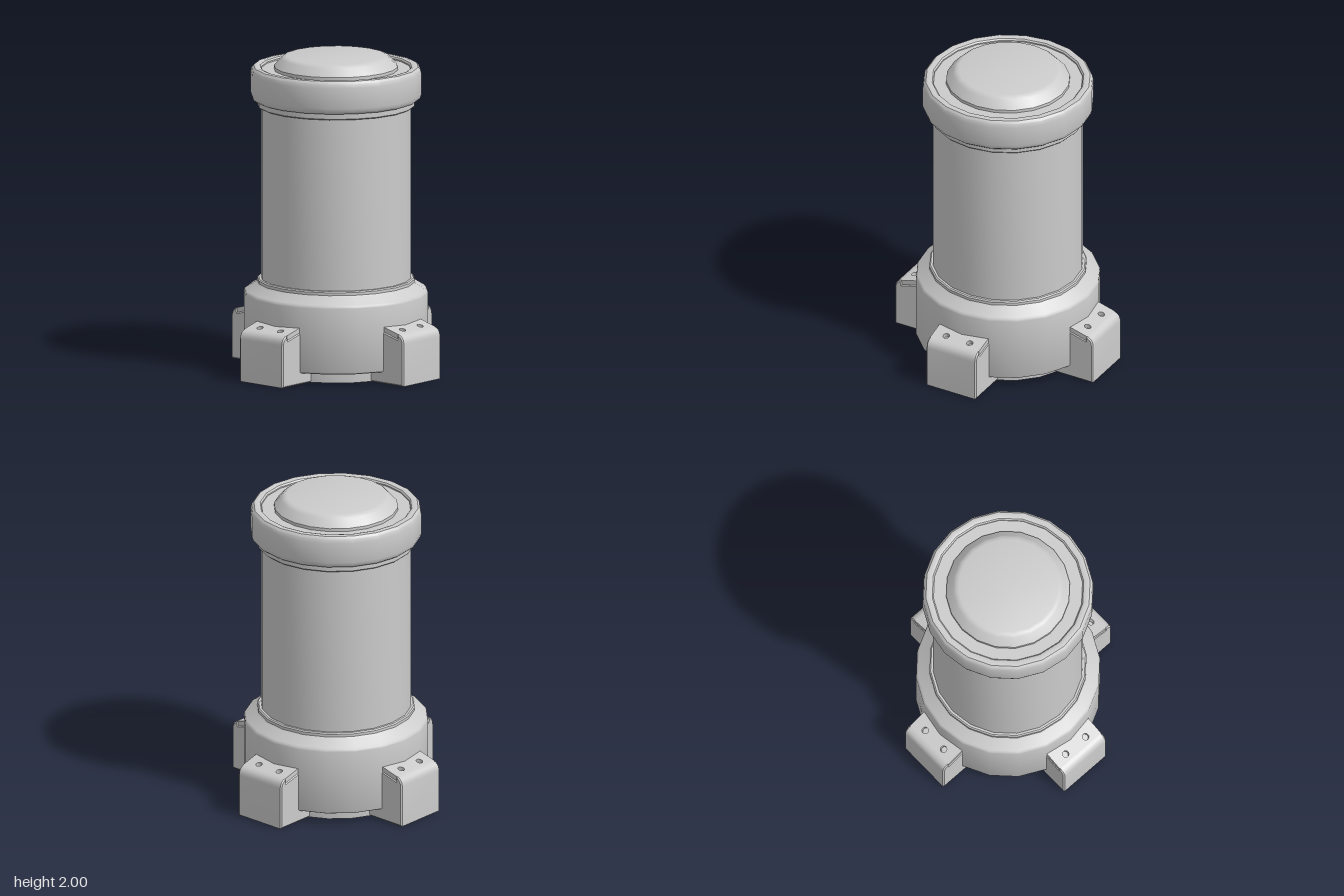
import * as THREE from 'three';
import { toCreasedNormals } from 'three/addons/utils/BufferGeometryUtils.js';

const SIDES = 20;
const grey = new THREE.MeshStandardMaterial({ color: 0xcccccc, side: THREE.DoubleSide });

function add(parent, name, geometry) {
  const mesh = new THREE.Mesh(geometry, grey);
  mesh.name = name;
  parent.add(mesh);
  return mesh;
}

// Turned part from [radius, height] pairs, listed so the outside runs upwards
function turned(parent, name, profile) {
  const points = profile.map(([r, y]) => new THREE.Vector2(r, y));
  return add(parent, name, toCreasedNormals(new THREE.LatheGeometry(points, SIDES), 0.6));
}

// Foot bracket pointing along +x: a solid block with a drilled sloping plate on top
function createFoot() {
  const foot = new THREE.Group();
  const halfWidth = 0.18, bevel = 0.008, thick = 0.03;
  const start = new THREE.Vector2(0.53, 0.366), end = new THREE.Vector2(0.672, 0.328);
  const along = end.clone().sub(start), length = along.length();
  along.normalize();
  const u = new THREE.Vector3(along.x, along.y, 0);
  const w = new THREE.Vector3(-along.y, along.x, 0);
  const v = new THREE.Vector3().crossVectors(w, u);

  // Block side profile, notched where the plate sits
  const side = new THREE.Shape();
  side.moveTo(0.41, 0);
  side.lineTo(0.715, 0);
  side.lineTo(0.715, 0.27);
  side.quadraticCurveTo(0.713, 0.317, end.x, end.y);
  side.lineTo(end.x - w.x * thick, end.y - w.y * thick);
  side.lineTo(start.x - w.x * thick, start.y - w.y * thick);
  side.lineTo(0.42, 0.336);
  side.closePath();
  const block = new THREE.ExtrudeGeometry(side, {
    depth: 2 * (halfWidth - bevel), curveSegments: 5,
    bevelEnabled: true, bevelSize: bevel, bevelThickness: bevel, bevelOffset: -bevel, bevelSegments: 1,
  });
  block.translate(0, 0, bevel - halfWidth);
  add(foot, 'footBlock', toCreasedNormals(block, 0.5));

  // Top plate with two bolt holes
  const hw = halfWidth - 0.004;
  const plate = new THREE.Shape([
    new THREE.Vector2(0, -hw), new THREE.Vector2(length, -hw),
    new THREE.Vector2(length, hw), new THREE.Vector2(0, hw),
  ]);
  for (const z of [-0.085, 0.085]) {
    const hole = new THREE.Path();
    hole.absarc(0.1, z, 0.021, 0, Math.PI * 2, true);
    plate.holes.push(hole);
  }
  const plateGeometry = new THREE.ExtrudeGeometry(plate, { depth: thick, bevelEnabled: false, curveSegments: 8 });
  plateGeometry.applyMatrix4(new THREE.Matrix4().makeBasis(u, v, w)
    .setPosition(start.x - w.x * thick, start.y - w.y * thick, 0));
  add(foot, 'footTopPlate', plateGeometry);
  return foot;
}

export function createModel() {
  const model = new THREE.Group();
  model.name = 'canister';

  // Hollow shaft, open at the bottom
  turned(model, 'shaft', [
    [0, 1.8], [0.465, 1.8], [0.465, 0], [0.485, 0], [0.485, 0.1], [0.473, 0.1], [0.473, 1.72],
  ]);

  // Wide base collar with a shoulder and a thin upper lip
  turned(model, 'baseCollar', [
    [0.48, 0.07], [0.565, 0.07], [0.575, 0.075], [0.58, 0.085], [0.58, 0.49], [0.577, 0.502], [0.567, 0.512],
    [0.505, 0.55], [0.496, 0.56], [0.496, 0.578], [0.488, 0.585], [0.47, 0.585],
  ]);

  // Rounded cap rim
  turned(model, 'capRim', [
    [0.47, 1.68], [0.49, 1.68], [0.495, 1.686], [0.495, 1.72], [0.515, 1.722], [0.53, 1.735], [0.538, 1.76],
    [0.538, 1.89], [0.532, 1.918], [0.518, 1.932], [0.495, 1.935], [0.478, 1.93], [0.47, 1.92], [0.47, 1.91],
  ]);

  // Raised lid inside the rim
  turned(model, 'lid', [
    [0.472, 1.912], [0.39, 1.912], [0.39, 1.932], [0.345, 1.982], [0.33, 1.995], [0.31, 2], [0, 2],
  ]);

  // Four feet around the base
  for (let i = 0; i < 4; i++) {
    const foot = createFoot();
    foot.name = 'foot' + (i + 1);
    foot.rotation.y = i * Math.PI / 2;
    model.add(foot);
  }
  return model;
}
